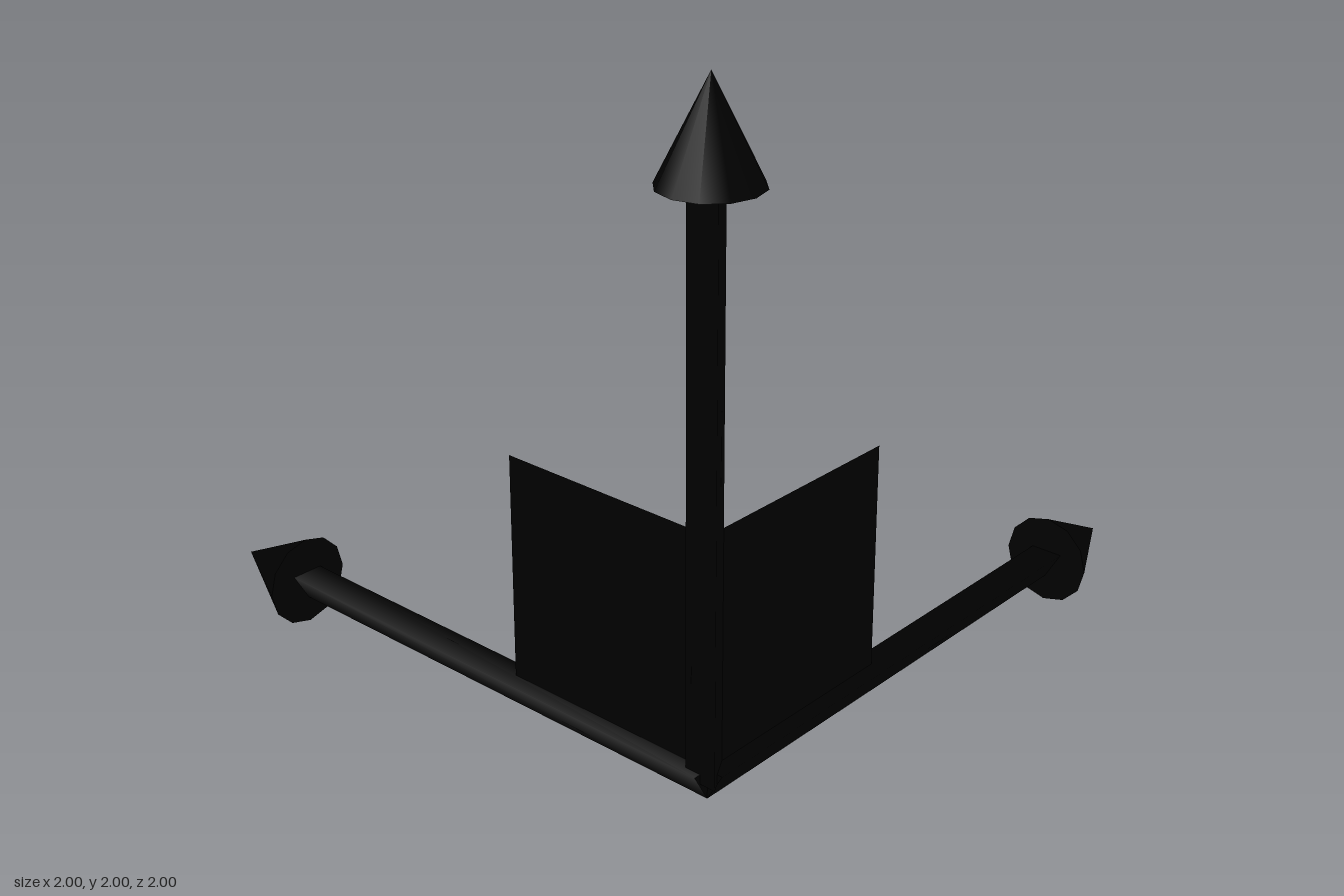
import * as THREE from 'three';

const ORIGIN = new THREE.Vector3(-0.864, 0.136, 0.864);
const TIP = 1.864, HEAD = 0.274, HEAD_R = 0.136, SHAFT_R = 0.057, PLANE = 0.695;

export function createModel() {
  const model = new THREE.Group();
  model.name = 'axisTripod';
  const black = new THREE.MeshStandardMaterial({ color: 0x000000 });
  const blackSheet = new THREE.MeshStandardMaterial({ color: 0x000000, side: THREE.DoubleSide });

  const add = (parent, geometry, material, name) => {
    const mesh = new THREE.Mesh(geometry, material);
    mesh.name = name;
    parent.add(mesh);
    return mesh;
  };

  // Arrow pointing up: three-sided shaft and a cone head
  const shaftLength = TIP - HEAD;
  const shaft = new THREE.CylinderGeometry(SHAFT_R, SHAFT_R, shaftLength, 3, 1, false, Math.PI / 2);
  shaft.translate(0, shaftLength / 2, 0);
  const head = new THREE.ConeGeometry(HEAD_R, HEAD, 12);
  head.translate(0, TIP - HEAD / 2, 0);

  const arrow = (name) => {
    const group = new THREE.Group();
    group.name = name;
    add(group, shaft, black, name + 'Shaft');
    add(group, head, black, name + 'Head');
    model.add(group);
    return group;
  };
  arrow('upArrow');
  arrow('sideArrow').rotation.z = -Math.PI / 2;
  // The back arrow is the side arrow turned about the vertical
  arrow('backArrow').rotation.set(0, Math.PI / 2, -Math.PI / 2, 'YXZ');

  // Square sheets between each pair of arrows
  const sheet = new THREE.PlaneGeometry(PLANE, PLANE);
  sheet.translate(PLANE / 2, PLANE / 2, 0);
  add(model, sheet, blackSheet, 'frontSheet');
  add(model, sheet, blackSheet, 'sideSheet').rotation.y = Math.PI / 2;
  add(model, sheet, blackSheet, 'floorSheet').rotation.x = -Math.PI / 2;

  model.children.forEach((part) => part.position.copy(ORIGIN));
  return model;
}
